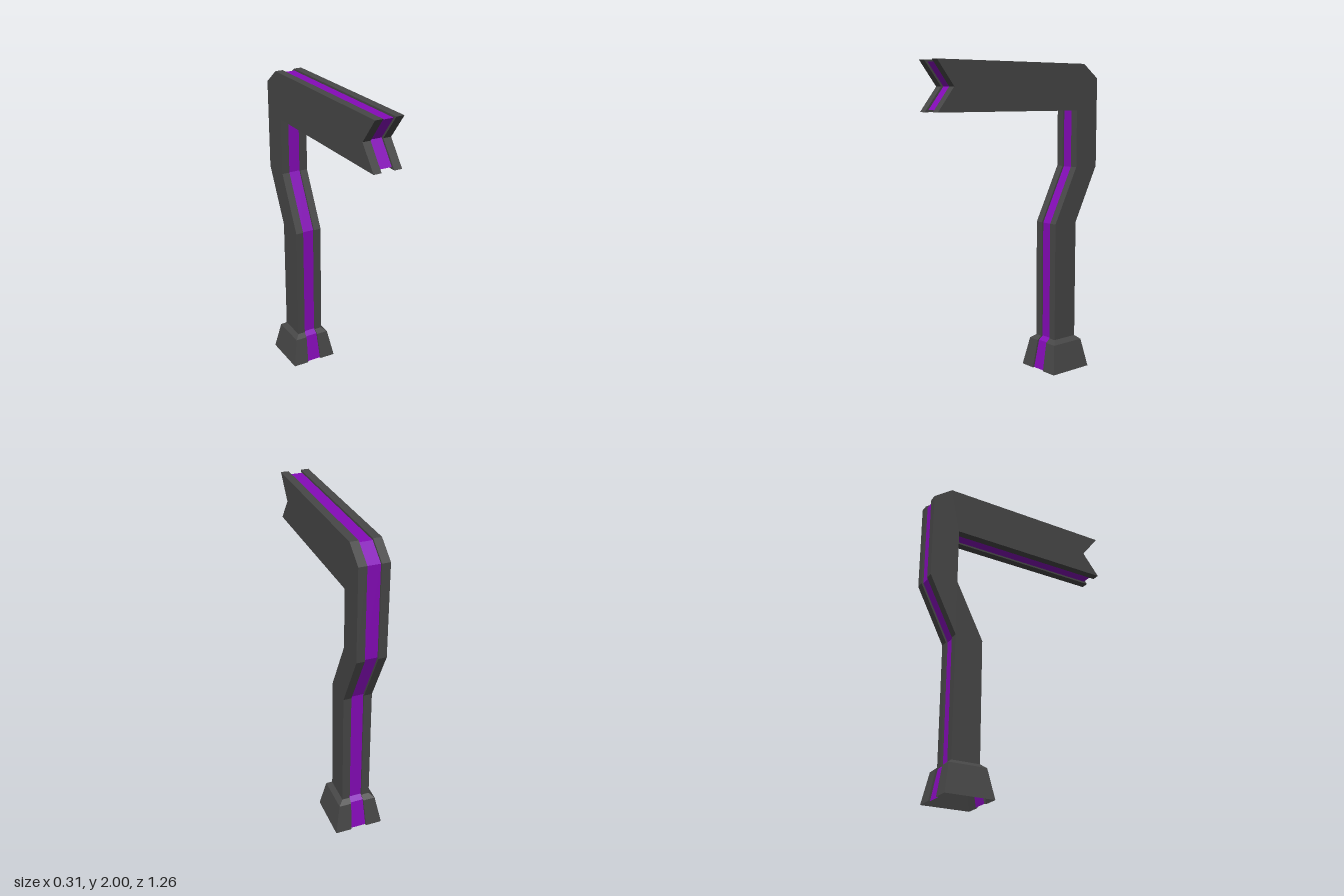
import * as THREE from 'three';

const dark = new THREE.MeshStandardMaterial({ color: 0x474747, flatShading: true, side: THREE.DoubleSide });
const purple = new THREE.MeshStandardMaterial({ color: 0x850bb8, flatShading: true, side: THREE.DoubleSide });
const GROOVE = 0.012; // depth of the recessed strip
const SLOT = 0.04;    // half width of the strip
const HALF = 0.09;    // half width of the post

// Side outline of the post and arm as (z, y)
const outline = [
  [0.63, 2], [-0.51, 2], [-0.63, 1.91], [-0.63, 1.34], [-0.45, 0.98], [-0.45, 0.21],
  [-0.27, 0.21], [-0.27, 0.98], [-0.45, 1.34], [-0.45, 1.705], [0.63, 1.705], [0.515, 1.85],
].map(([z, y]) => new THREE.Vector2(z, y));

// Shrinks a counter-clockwise outline with mitred corners
function inset(points, amount) {
  const n = points.length;
  const normal = (a, b) => {
    const d = b.clone().sub(a).normalize();
    return new THREE.Vector2(-d.y, d.x);
  };
  return points.map((p, i) => {
    const n1 = normal(points[(i + n - 1) % n], p);
    const n2 = normal(p, points[(i + 1) % n]);
    return p.clone().addScaledVector(n1.clone().add(n2), amount / (1 + n1.dot(n2)));
  });
}

// Extrudes a (z, y) outline across x
function slab(points, x0, x1) {
  const g = new THREE.ExtrudeGeometry(new THREE.Shape(points), { depth: x1 - x0, bevelEnabled: false });
  return g.rotateY(-Math.PI / 2).translate(x1, 0, 0);
}

// Joins open cross-sections (rings of [x, y, z]) with quads
function loft(rings) {
  const pos = [];
  for (let r = 0; r < rings.length - 1; r++) {
    for (let i = 0; i < rings[r].length - 1; i++) {
      const a = rings[r][i], b = rings[r][i + 1];
      const c = rings[r + 1][i], d = rings[r + 1][i + 1];
      pos.push(...a, ...c, ...b, ...b, ...c, ...d);
    }
  }
  const g = new THREE.BufferGeometry();
  g.setAttribute('position', new THREE.Float32BufferAttribute(pos, 3));
  g.computeVertexNormals();
  return g;
}

export function createModel() {
  const model = new THREE.Group();
  const add = (name, geometry, material, parent = model) => {
    const mesh = new THREE.Mesh(geometry, material);
    mesh.name = name;
    parent.add(mesh);
    return mesh;
  };

  // Post and arm: two side plates around a recessed strip
  add('leftPlate', slab(outline, SLOT, HALF), dark);
  add('rightPlate', slab(outline, -HALF, -SLOT), dark);
  const core = inset(outline, GROOVE);
  core[5].y = core[6].y = 0.21; // meets the foot
  add('centreStrip', slab(core, -SLOT, SLOT), purple);

  // Flared hollow foot: height, half size, half slot width
  const levels = [[0, 0.155, 0.05], [0.185, 0.12, 0.042], [0.21, HALF, SLOT]];
  const shell = loft(levels.map(([y, w, s]) => [
    [s, y, GROOVE - w], [s, y, -w], [w, y, -w], [w, y, w], [s, y, w], [s, y, w - GROOVE],
  ]));
  const strip = loft(levels.map(([y, w, s]) => [[s, y, w - GROOVE], [-s, y, w - GROOVE]]));
  const foot = new THREE.Group();
  foot.name = 'foot';
  foot.position.z = -0.36;
  add('leftFootShell', shell, dark, foot);
  add('rightFootShell', shell, dark, foot).rotation.y = Math.PI;
  add('frontFootStrip', strip, purple, foot);
  add('backFootStrip', strip, purple, foot).rotation.y = Math.PI;
  model.add(foot);

  return model;
}
